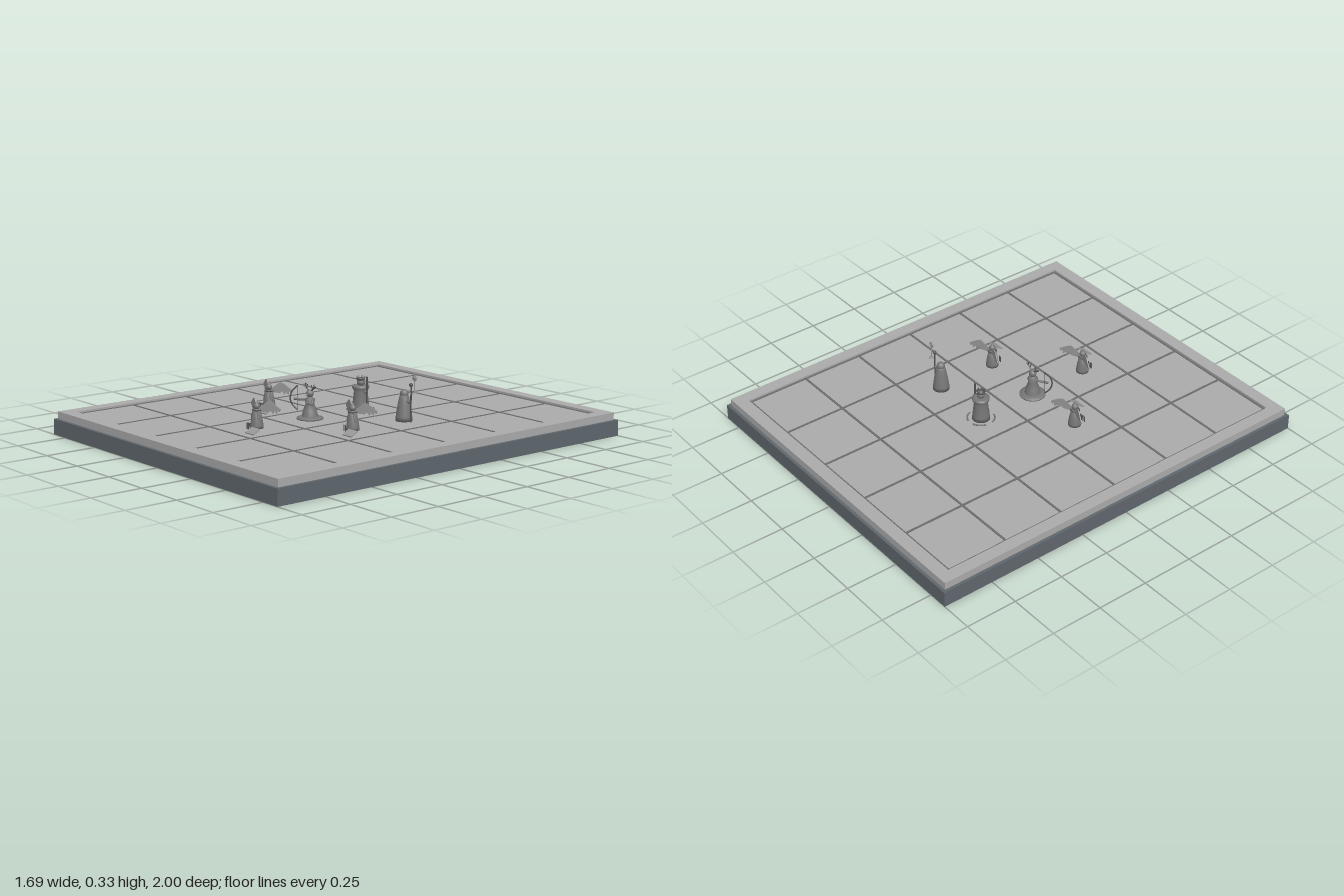
import * as THREE from 'three';

const mat = (name, color) => {
  const m = new THREE.MeshStandardMaterial({ color, side: THREE.DoubleSide });
  m.name = name;
  return m;
};

export function createModel() {
  const slate = mat('slate', 0x5f676d);
  const stone = mat('stone', 0xaaaaaa);
  const line = mat('groove', 0x6c6c6c);
  const figure = mat('figureGrey', 0x777777);
  const pale = mat('paleGrey', 0x999999);
  const dark = mat('darkGrey', 0x555555);
  const FLOOR = 0.1, RIM = 0.11, CELL = 0.3055;

  const root = new THREE.Group();
  root.name = 'gameBoard';
  const add = (parent, name, geo, material, x = 0, y = 0, z = 0) => {
    const m = new THREE.Mesh(geo, material);
    m.name = name;
    m.position.set(x, y, z);
    parent.add(m);
    return m;
  };
  const box = (w, h, d) => new THREE.BoxGeometry(w, h, d);
  const group = (name, x, z) => {
    const g = new THREE.Group();
    g.name = name;
    g.position.set(x, FLOOR, z);
    root.add(g);
    return g;
  };
  const lathe = pts => new THREE.LatheGeometry(pts.map(p => new THREE.Vector2(...p)), 20);
  const tube = (pts, r) => new THREE.TubeGeometry(
    new THREE.CatmullRomCurve3(pts.map(p => new THREE.Vector3(...p))), 14, r, 6);
  const ball = r => new THREE.SphereGeometry(r, 14, 10);
  const rod = (r, h) => new THREE.CylinderGeometry(r, r, h, 8);

  // Plinth, sunken floor and raised rim
  add(root, 'plinth', box(1.69, 0.075, 2), slate, 0, 0.0375, 0);
  add(root, 'floor', box(1.54, FLOOR - 0.075, 1.846), stone, 0, (FLOOR + 0.075) / 2, 0);
  const rim = new THREE.Shape([[-0.83, -0.985], [0.83, -0.985], [0.83, 0.985], [-0.83, 0.985]]
    .map(p => new THREE.Vector2(...p)));
  rim.holes.push(new THREE.Path([[-0.77, -0.923], [-0.77, 0.923], [0.77, 0.923], [0.77, -0.923]]
    .map(p => new THREE.Vector2(...p))));
  const rimGeo = new THREE.ExtrudeGeometry(rim, { depth: RIM - 0.075, bevelEnabled: false });
  add(root, 'rim', rimGeo.rotateX(-Math.PI / 2), stone, 0, 0.075, 0);

  // Lines between the tiles
  for (let i = 0; i <= 5; i++)
    add(root, 'lengthLine', box(0.011, 0.002, 1.846), line, (i - 2.5) * CELL, FLOOR + 0.001, 0);
  for (let i = 0; i <= 6; i++)
    add(root, 'crossLine', box(1.54, 0.002, 0.011), line, 0, FLOOR + 0.001, (i - 3) * CELL);

  // Winged pieces with a tilted card and small counting pegs
  const wing = new THREE.ExtrudeGeometry(new THREE.Shape([
    [0.005, 0.092], [0.055, 0.128], [0.078, 0.12], [0.118, 0.095], [0.112, 0.083], [0.1, 0.088],
    [0.1, 0.072], [0.083, 0.086], [0.08, 0.07], [0.065, 0.086], [0.055, 0.076], [0.01, 0.076],
  ].map(p => new THREE.Vector2(...p))), { depth: 0.004, bevelEnabled: false });
  const wingedPiece = (x, z, pegs) => {
    const g = group('wingedPiece', x, z);
    add(g, 'robe', lathe([[0, 0], [0.03, 0], [0.03, 0.012], [0.026, 0.04], [0.017, 0.083], [0, 0.09]]), figure);
    add(g, 'head', ball(0.015), figure, 0, 0.1, 0);
    add(g, 'hoodTip', new THREE.ConeGeometry(0.01, 0.018, 12), figure, 0, 0.118, 0);
    const halo = add(g, 'collar', new THREE.TorusGeometry(0.02, 0.003, 6, 20), dark, 0, 0.083, 0);
    halo.rotation.x = Math.PI / 2;
    for (const s of [-1, 1]) {
      const pivot = new THREE.Group();
      pivot.name = s > 0 ? 'leftWing' : 'rightWing';
      pivot.scale.x = s;
      pivot.position.z = -0.006;
      g.add(pivot);
      add(pivot, 'feathers', wing, pale).rotation.y = 0.42;
      const arm = add(g, 'arm', rod(0.005, 0.045), figure, s * 0.02, 0.062, 0.008);
      arm.rotation.z = s * 0.35;
    }
    for (let i = 0; i < pegs; i++)
      add(g, 'peg', box(0.004, 0.03, 0.004), dark, (i - (pegs - 1) / 2) * 0.01, 0.015, 0.047);
    const card = add(g, 'card', box(0.06, 0.005, 0.042), pale, 0.1, 0.017, 0.1);
    card.rotation.x = 0.5;
  };
  wingedPiece(-CELL, CELL / 2, 4);
  wingedPiece(CELL, CELL / 2, 2);
  wingedPiece(0, CELL * 1.5, 3);

  // Antlered archer on a round base
  const archer = group('archer', 0, CELL / 2);
  add(archer, 'roundBase', lathe([[0, 0], [0.062, 0], [0.062, 0.006], [0.05, 0.009], [0.046, 0.013], [0, 0.013]]), figure);
  add(archer, 'robe', lathe([[0.038, 0.012], [0.032, 0.04], [0.02, 0.07], [0.025, 0.09], [0.012, 0.103], [0, 0.104]]), figure);
  add(archer, 'head', ball(0.018), figure, 0, 0.118, 0);
  add(archer, 'muzzle', new THREE.ConeGeometry(0.009, 0.022, 10), figure, 0, 0.114, 0.018).rotation.x = Math.PI / 2;
  for (const s of [-1, 1]) {
    add(archer, 'antler', tube([[s * 0.008, 0.13, 0], [s * 0.022, 0.14, 0], [s * 0.033, 0.152, 0], [s * 0.028, 0.162, 0]], 0.003), dark);
    add(archer, 'antlerTine', tube([[s * 0.02, 0.138, 0], [s * 0.018, 0.15, 0.002], [s * 0.014, 0.159, 0.003]], 0.0025), dark);
    add(archer, 'antlerFork', tube([[s * 0.028, 0.146, 0], [s * 0.038, 0.148, 0], [s * 0.043, 0.156, 0]], 0.0025), dark);
  }
  add(archer, 'bowArm', tube([[-0.022, 0.088, 0.004], [-0.045, 0.086, 0.02], [-0.072, 0.087, 0.035]], 0.006), figure);
  add(archer, 'drawArm', tube([[0.022, 0.088, 0.004], [0.035, 0.075, 0.014], [0.01, 0.08, 0.028]], 0.006), figure);
  add(archer, 'bow', tube([[-0.065, 0.148, 0.02], [-0.083, 0.122, 0.037], [-0.088, 0.09, 0.045], [-0.083, 0.058, 0.037], [-0.065, 0.032, 0.02]], 0.0035), dark);
  add(archer, 'bowString', rod(0.0012, 0.116), dark, -0.065, 0.09, 0.02);

  // Crowned ruler inside a broken floor ring
  const ruler = group('ruler', 0, -CELL / 2);
  for (let i = 0; i < 4; i++) {
    const arc = add(ruler, 'ringSegment', new THREE.TorusGeometry(0.064, 0.004, 6, 10, 1), figure, 0, 0.004, 0);
    arc.rotation.set(Math.PI / 2, 0, i * Math.PI / 2 + Math.PI / 4 - 0.5);
  }
  add(ruler, 'robe', lathe([[0, 0], [0.042, 0], [0.04, 0.02], [0.032, 0.09], [0.04, 0.105], [0.041, 0.116], [0.03, 0.118], [0, 0.118]]), figure);
  add(ruler, 'head', ball(0.019), figure, 0, 0.132, 0);
  add(ruler, 'crownBand', new THREE.CylinderGeometry(0.02, 0.018, 0.01, 16, 1, true), dark, 0, 0.146, 0);
  for (let i = 0; i < 6; i++) {
    const a = i * Math.PI / 3;
    add(ruler, 'crownPoint', new THREE.ConeGeometry(0.005, 0.014, 6), dark, 0.019 * Math.cos(a), 0.157, 0.019 * Math.sin(a));
  }
  add(ruler, 'sceptre', rod(0.004, 0.155), dark, 0.05, 0.0875, 0.005);
  add(ruler, 'sceptreArm', tube([[0.028, 0.1, 0], [0.042, 0.09, 0.004], [0.05, 0.09, 0.005]], 0.006), figure);

  // Robed sage with a ball staff and a floating crystal
  const sage = group('sage', CELL, -CELL / 2);
  add(sage, 'robe', lathe([[0, 0], [0.04, 0], [0.038, 0.02], [0.03, 0.075], [0.023, 0.11], [0.018, 0.12], [0, 0.124]]), figure);
  add(sage, 'hood', ball(0.02), figure, 0, 0.126, 0);
  add(sage, 'staffArm', tube([[0.018, 0.1, 0], [0.035, 0.092, 0.004], [0.05, 0.095, 0.003]], 0.006), figure);
  add(sage, 'staff', rod(0.0035, 0.175), dark, 0.05, 0.0875, 0.003);
  add(sage, 'staffBall', ball(0.009), dark, 0.05, 0.174, 0.003);
  add(sage, 'crystalFoot', new THREE.CylinderGeometry(0.011, 0.013, 0.005, 12), pale, 0.07, 0.137, 0);
  add(sage, 'crystalStem', rod(0.0025, 0.055), pale, 0.07, 0.165, 0);
  const crystal = new THREE.OctahedronGeometry(0.019);
  add(sage, 'crystal', crystal.scale(1, 1, 0.25), pale, 0.07, 0.207, 0);

  return root;
}
